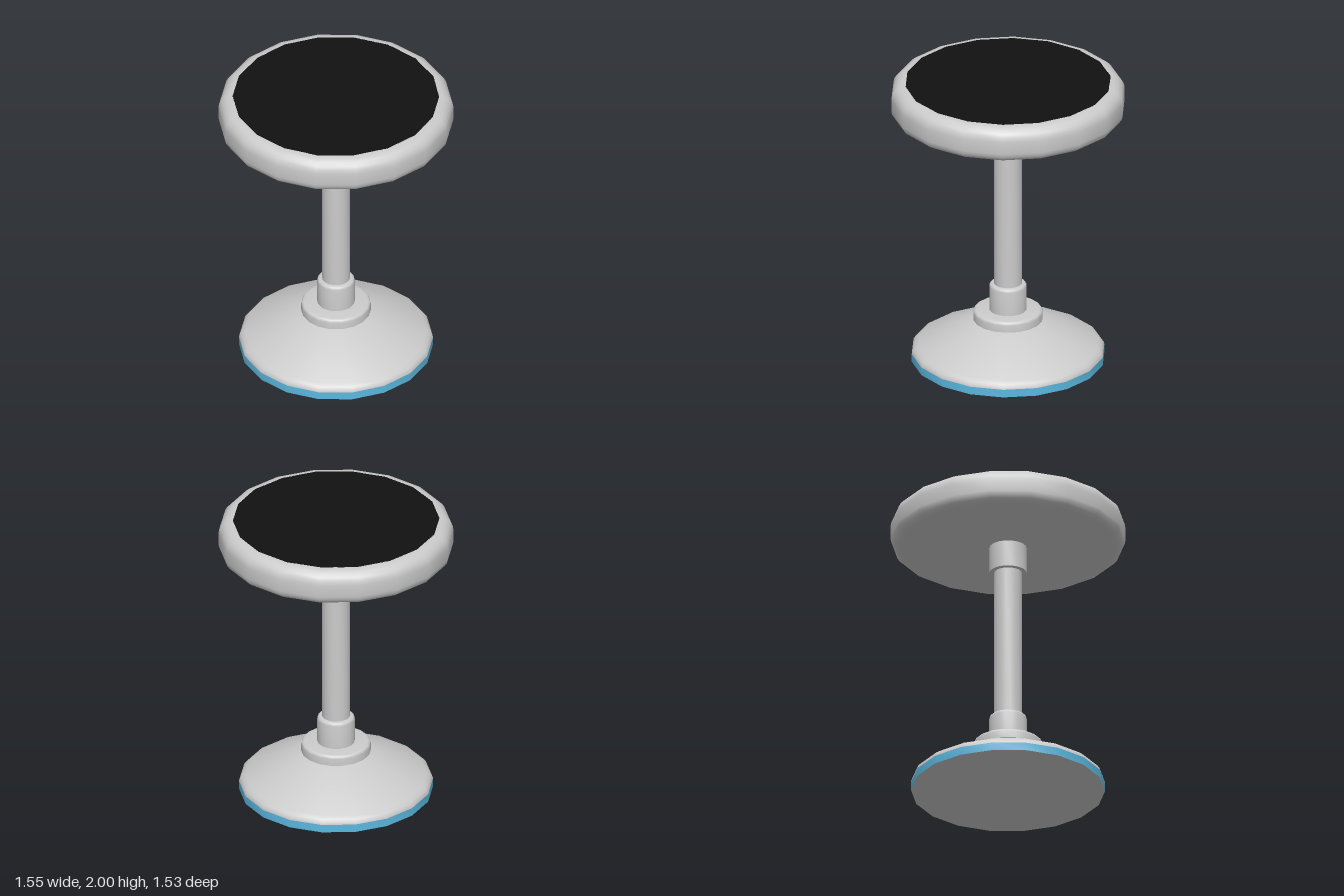
import * as THREE from 'three';
import { toCreasedNormals } from 'three/addons/utils/BufferGeometryUtils.js';

const SIDES = 18;
const grey = new THREE.MeshStandardMaterial({ color: 0xcccccc });
const blue = new THREE.MeshStandardMaterial({ color: 0x5bb8e0 });
const black = new THREE.MeshStandardMaterial({ color: 0x111111 });

// Points of a quarter-round corner, counter-clockwise from angle a (degrees)
function corner(r, y, radius, a, steps = 4) {
  return Array.from({ length: steps + 1 }, (_, i) => {
    const t = THREE.MathUtils.degToRad(a + (90 * i) / steps);
    return [r + radius * Math.cos(t), y + radius * Math.sin(t)];
  });
}

// Turned part from a bottom-to-top profile, with a corner on the +x axis
function turned(name, profile, material) {
  const points = profile.map(([r, y]) => new THREE.Vector2(r, y));
  const lathe = new THREE.LatheGeometry(points, SIDES, Math.PI / 2);
  const mesh = new THREE.Mesh(toCreasedNormals(lathe, 0.65), material);
  mesh.name = name;
  return mesh;
}

// Flat disc lying in the xz plane
function disc(name, radius, y, up, material) {
  const mesh = new THREE.Mesh(new THREE.CircleGeometry(radius, SIDES), material);
  mesh.rotation.x = up ? -Math.PI / 2 : Math.PI / 2;
  mesh.position.y = y;
  mesh.name = name;
  return mesh;
}

export function createModel() {
  const stool = new THREE.Group();
  stool.name = 'stool';

  // Base: coloured floor ring with a sloping cover above it
  stool.add(disc('baseUnderside', 0.64, 0, false, grey));
  stool.add(turned('baseRing', [[0.64, 0], [0.64, 0.055]], blue));
  stool.add(turned('baseCover', [
    [0.64, 0.055], [0.637, 0.07], [0.625, 0.086], [0.6, 0.103], [0.22, 0.282], [0, 0.282],
  ], grey));

  // Stepped collar and sleeve that hold the pole
  stool.add(turned('baseCollar', [
    [0, 0.28], [0.23, 0.28], ...corner(0.208, 0.329, 0.022, 0), [0, 0.351],
  ], grey));
  stool.add(turned('lowerSleeve', [
    [0, 0.345], [0.124, 0.345], ...corner(0.102, 0.518, 0.022, 0), [0, 0.54],
  ], grey));

  // Pole and the sleeve under the seat
  stool.add(turned('pole', [[0.093, 0.5], [0.093, 1.62]], grey));
  stool.add(turned('upperSleeve', [[0, 1.58], [0.124, 1.58], [0.124, 1.77]], grey));

  // Seat: rounded cushion rim with an inset dark top
  stool.add(turned('seat', [
    [0, 1.762], ...corner(0.71, 1.827, 0.065, -90),
    ...corner(0.685, 1.91, 0.09, 0, 5), [0.68, 2],
  ], grey));
  stool.add(disc('seatTop', 0.682, 2, true, black));

  return stool;
}
